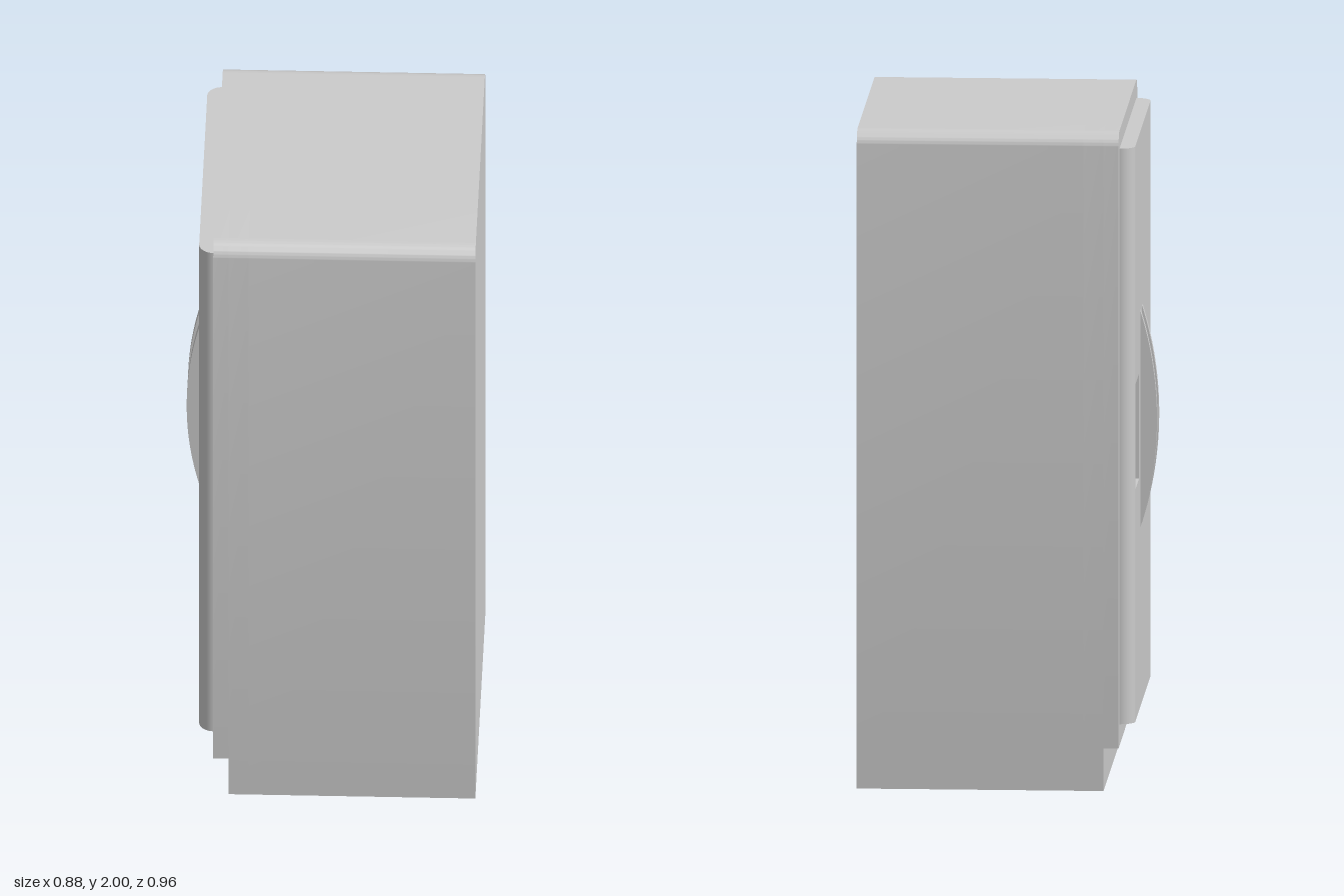
import * as THREE from 'three';
import { toCreasedNormals } from 'three/addons/utils/BufferGeometryUtils.js';

const material = new THREE.MeshStandardMaterial({ color: 0xcccccc });
const FRONT = -0.345, DOOR_FACE = -0.39, KICK = -0.30, RECESS_BACK = -0.24, BACK = 0.44;
const HALF = 0.48, TOP = 2, KICK_TOP = 0.13;

function mesh(name, geometry) {
  const m = new THREE.Mesh(geometry, material);
  m.name = name;
  return m;
}

// Extrudes an outline (u = -z, v = y) along x from x0 to x1
function slab(name, shape, x0, x1) {
  let g = new THREE.ExtrudeGeometry(shape, { depth: x1 - x0, bevelEnabled: false, curveSegments: 12 });
  g = toCreasedNormals(g, 0.6);
  g.rotateY(Math.PI / 2).translate(x0, 0, 0);
  return mesh(name, g);
}

function rect(target, u0, u1, v0, v1) {
  target.moveTo(u0, v0);
  target.lineTo(u1, v0);
  target.lineTo(u1, v1);
  target.lineTo(u0, v1);
  target.closePath();
  return target;
}

const dispenserHole = () => rect(new THREE.Path(), 0.19, 0.38, 0.9, 1.22);

// Cabinet outline with rounded upper side edges
function cabinetShape(bottom, hasHole) {
  const r = 0.05, s = new THREE.Shape();
  s.moveTo(-HALF, bottom);
  s.lineTo(HALF, bottom);
  s.lineTo(HALF, TOP - r);
  s.absarc(HALF - r, TOP - r, r, 0, Math.PI / 2);
  s.lineTo(-HALF + r, TOP);
  s.absarc(-HALF + r, TOP - r, r, Math.PI / 2, Math.PI);
  s.closePath();
  if (hasHole) s.holes.push(dispenserHole());
  return s;
}

export function createModel() {
  const model = new THREE.Group();
  model.name = 'refrigerator';

  // Cabinet: front lip above the kick space, recess surround, solid rear
  const cabinet = new THREE.Group();
  cabinet.name = 'cabinet';
  cabinet.add(
    slab('cabinetFront', cabinetShape(KICK_TOP, true), FRONT, KICK),
    slab('cabinetMiddle', cabinetShape(0, true), KICK, RECESS_BACK),
    slab('cabinetRear', cabinetShape(0, false), RECESS_BACK, BACK)
  );
  model.add(cabinet);

  // Door: flat panel with dispenser opening and rounded vertical edges
  const door = new THREE.Group();
  door.name = 'door';
  const y0 = 0.195, y1 = 1.945, r = FRONT - DOOR_FACE, w = 0.387;
  const panel = rect(new THREE.Shape(), -w, w, y0, y1);
  panel.holes.push(dispenserHole());
  door.add(slab('doorPanel', panel, DOOR_FACE, FRONT));
  for (const [side, start] of [[1, -Math.PI / 2], [-1, Math.PI]]) {
    const g = new THREE.CylinderGeometry(r, r, y1 - y0, 12, 1, false, start, Math.PI / 2);
    g.translate(FRONT, (y0 + y1) / 2, side * w);
    door.add(mesh('doorRoundedEdge', g));
  }
  model.add(door);

  // Two solid bowed handles
  const R = 1.114, a = Math.asin(0.33 / R);
  const bow = new THREE.Shape();
  bow.absarc(-0.44 + R, 1.07, R, Math.PI - a, Math.PI + a);
  bow.closePath();
  for (const z of [-0.135, -0.044]) {
    const g = new THREE.ExtrudeGeometry(bow, { depth: 0.028, bevelEnabled: false, curveSegments: 20 });
    g.translate(0, 0, z);
    model.add(mesh('handle', toCreasedNormals(g, 0.5)));
  }
  return model;
}
